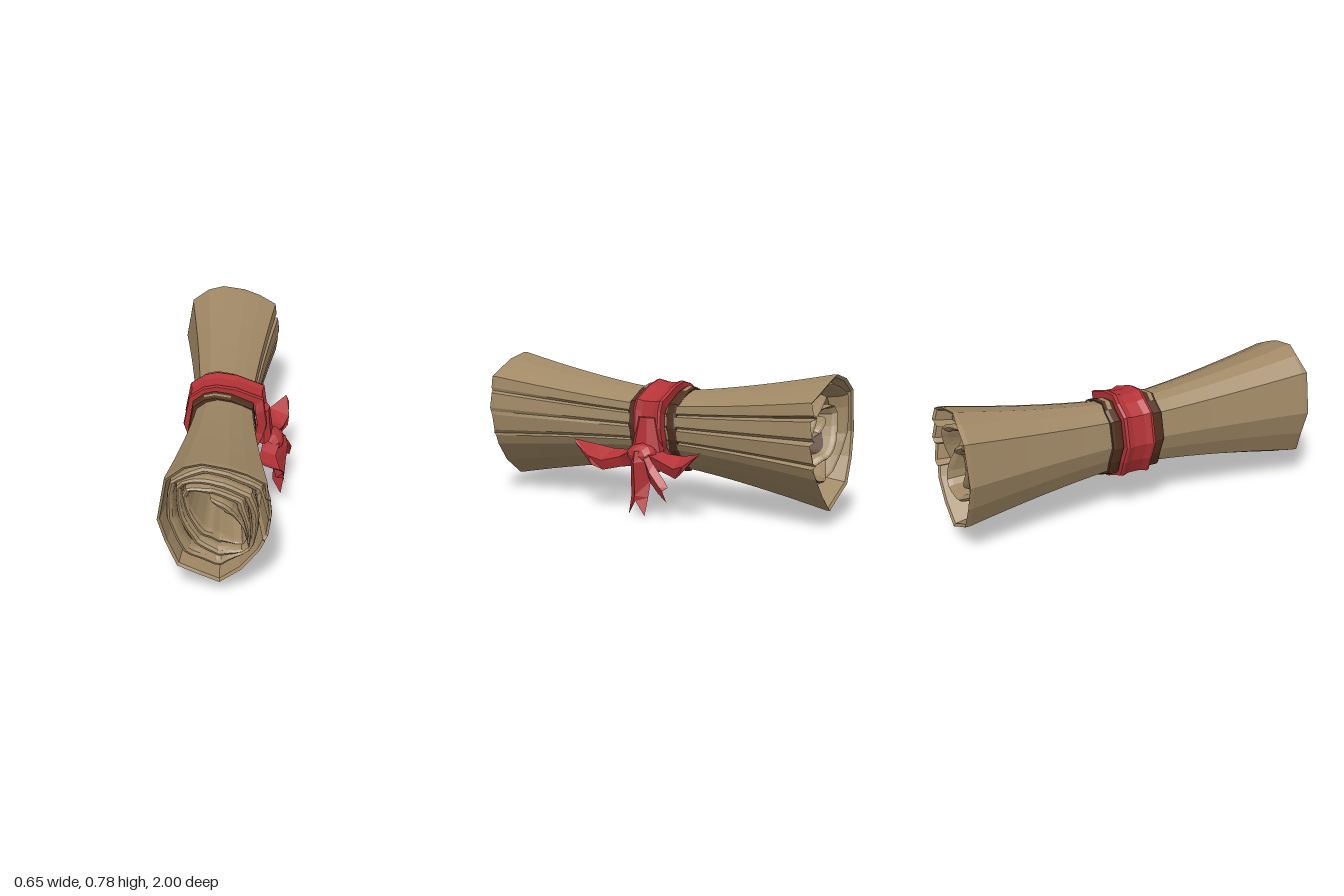
import * as THREE from 'three';

const CX = -0.04, CY = 0.43;

// flared end outline
const OUTLINE = [[0.24, 0.48], [0.225, 0.6], [0.215, 0.68], [0.03, 0.765], [-0.1, 0.79], [-0.19, 0.76], [-0.285, 0.69],
  [-0.325, 0.46], [-0.29, 0.32], [-0.23, 0.185], [-0.12, 0.13], [-0.02, 0.077], [0.09, 0.17], [0.18, 0.28], [0.225, 0.38]];
// the same outline with long folds on the +x side: [x, y, fold depth]
const CREASED = [[0.24, 0.5, 0], [0.232, 0.585, 0], [0.228, 0.597, 0.05], [0.222, 0.615, 0], [0.215, 0.68, 0],
  [0.12, 0.73, 0], [0.03, 0.765, 0], [-0.1, 0.79, 0], [-0.19, 0.76, 0], [-0.285, 0.69, 0], [-0.325, 0.46, 0],
  [-0.29, 0.32, 0], [-0.23, 0.185, 0], [-0.12, 0.13, 0], [-0.02, 0.077, 0], [0.09, 0.17, 0], [0.18, 0.28, 0],
  [0.207, 0.335, 0], [0.212, 0.35, 0.025], [0.222, 0.37, 0], [0.235, 0.46, 0], [0.238, 0.48, 0.025]];

const flare = (z) => 0.57 + 0.43 * Math.pow(Math.abs(z), 1.4);
const place = (p, s, z) => [CX + (p[0] - CX) * s, CY + (p[1] - CY) * s, z];

// surface through rows of points
function grid(rows, closed = false) {
  const n = rows[0].length, pos = rows.flat(2), index = [];
  for (let r = 0; r < rows.length - 1; r++) {
    for (let c = 0; c < (closed ? n : n - 1); c++) {
      const d = (c + 1) % n, a = r * n + c, b = r * n + d;
      index.push(a, b, a + n, b, b + n, a + n);
    }
  }
  const g = new THREE.BufferGeometry();
  g.setAttribute('position', new THREE.Float32BufferAttribute(pos, 3));
  g.setIndex(index);
  g.computeVertexNormals();
  return g;
}

// point on the outline at u turns
function outlineAt(u) {
  const n = OUTLINE.length, f = (u - Math.floor(u)) * n, i = Math.floor(f) % n, k = f - Math.floor(f);
  const a = OUTLINE[i], b = OUTLINE[(i + 1) % n];
  return [a[0] + (b[0] - a[0]) * k, a[1] + (b[1] - a[1]) * k];
}

// blend from the outline (k = 0) to the slanted hollow core (k = 1)
function rollPoint(u, k) {
  const p = outlineAt(u), ang = Math.atan2(p[1] - CY, p[0] - CX) + 0.82;
  const r = 0.19 * 0.06 / Math.hypot(0.06 * Math.cos(ang), 0.19 * Math.sin(ang));
  const q = [-0.025 + r * Math.cos(ang - 0.82), 0.435 + r * Math.sin(ang - 0.82)];
  return [p[0] + (q[0] - p[0]) * k, p[1] + (q[1] - p[1]) * k];
}

export function createModel() {
  const model = new THREE.Group();
  model.name = 'tiedScroll';
  const mat = (name, color) => {
    const m = new THREE.MeshStandardMaterial({ color, side: THREE.DoubleSide, flatShading: true });
    m.name = name;
    return m;
  };
  const paper = mat('parchment', 0xa08865);
  const dark = mat('darkBrown', 0x50301f);
  const red = mat('ribbonRed', 0xb43337);
  const add = (name, geo, material, parent = model) => {
    const m = new THREE.Mesh(geo, material);
    m.name = name;
    parent.add(m);
    return m;
  };

  // outer sheet with turned-in rims; folds deepen towards the back
  const edge = (i, side) => side * (1 - 0.008 * (1 + Math.sin(i * 2.3 + side)) * (i % 3 ? 1 : 0));
  const folded = ([x, y, depth], z) => [x - depth * (0.65 - 0.45 * z), y];
  const ring = (s, z) => CREASED.map((p) => place(folded(p, z), s * flare(z), z));
  const rim = (s, side, inset) => CREASED.map((p, i) => place(folded(p, side), s, edge(i, side) - side * inset));
  const rows = [ring(0.93, -0.75), rim(0.94, -1, 0.01), rim(0.985, -1, 0)];
  for (let i = -9; i <= 9; i++) rows.push(ring(1, i * 0.108));
  rows.push(rim(0.985, 1, 0), rim(0.94, 1, 0.01), ring(0.93, 0.75));
  add('outerSheet', grid(rows, true), paper);

  // rolled inner layers at both ends
  const TURNS = 3.2, STEPS = 130;
  for (const side of [1, -1]) {
    const front = side > 0;
    const roll = new THREE.Group();
    roll.name = front ? 'frontRoll' : 'backRoll';
    model.add(roll);
    const thick = front ? 0.21 : 0.15, ragged = front ? 0.01 : 0.045, backLip = front ? 0.25 : 0.04;
    const outer = [], inner = [];
    for (let i = 0; i <= STEPS; i++) {
      const t = i / STEPS, u = 0.1 + t * TURNS;
      const wave = 0.012 * Math.sin(u * 17) + 0.008 * Math.sin(u * 41);
      const k0 = 0.08 + t * 0.8 + wave, k1 = k0 + thick, km = (k0 + k1) / 2;
      const top = 0.98 - 0.03 * t - ragged * (1 + Math.sin(u * 9 + 1));
      // the shaded part reaches nearest the edge on the -x side, and stays deep in the front core
      const lip = front && t > 0.62 ? 0.28 : 0.03 + 0.12 * (1 - Math.cos(2 * Math.PI * (u - 0.55)));
      const at = (k, z) => place(rollPoint(u, k), flare(z), z * side);
      outer.push([at(k0, 0.45), at(k0, top - 0.02 - backLip), at(k0, top - 0.02), at(k0 + 0.04, top),
        at(km, top + 0.008), at(k1 - 0.04, top), at(k1, top - 0.02)]);
      inner.push([at(k1, top - 0.02), at(k1, top - 0.02 - lip), at(k1, 0.45)]);
    }
    add('rolledLayers', grid(outer.map((r) => r.slice(1))), paper, roll);
    add('rollLip', grid(inner.map((r) => r.slice(0, 2))), paper, roll);
    // shaded brown paper deeper in
    add('rollShadeOuter', grid(outer.map((r) => r.slice(0, 2))), dark, roll);
    add('rollShadeInner', grid(inner.map((r) => r.slice(1))), dark, roll);
    // floor closing the hollow
    const floor = OUTLINE.map((p) => place(p, 0.78 * flare(0.6), 0.6 * side));
    add('rollFloor', grid([floor, floor.map(() => [CX, CY, 0.56 * side])], true), dark, roll);
  }

  // bands around the waist: profile entries are [scale, z]
  const bandRows = (profile, dx, wide) => profile.map(([s, z]) =>
    OUTLINE.map((p, i) => {
      const q = place(p, s, z + 0.006 * Math.sin(i * 2.1));
      return [CX + (q[0] - CX) * wide + dx, q[1], q[2]];
    }));
  const band = (name, profile, material, dx, wide) => add(name, grid(bandRows(profile, dx, wide), true), material);
  band('frontCollar', [[0.55, 0.07], [0.64, 0.07], [0.65, 0.085], [0.65, 0.125], [0.63, 0.14], [0.55, 0.14]], dark, -0.01, 1);
  band('backCollar', [[0.55, -0.16], [0.63, -0.16], [0.65, -0.145], [0.65, -0.115], [0.63, -0.1], [0.55, -0.1]], dark, -0.01, 1);
  band('ribbonBand', [[0.56, -0.095], [0.715, -0.095], [0.73, -0.08], [0.695, -0.045], [0.695, 0.025],
    [0.73, 0.06], [0.715, 0.075], [0.56, 0.075]], red, 0.005, 1.1);
  // worn pale patches on top of the collars
  for (const [z0, z1] of [[0.105, 0.125], [-0.145, -0.122]]) {
    add('collarPatch', grid(bandRows([[0.655, z0], [0.655, z1]], -0.01, 1).map((r) => r.slice(3, 6))), paper);
  }

  // bow on the left side
  const bow = new THREE.Group();
  bow.name = 'bow';
  model.add(bow);
  const knot = add('knot', new THREE.IcosahedronGeometry(1, 1), red, bow);
  knot.scale.set(0.065, 0.06, 0.09);
  knot.position.set(0.22, 0.325, -0.005);
  const neck = add('knotNeck', new THREE.CylinderGeometry(0.055, 0.1, 0.18, 7), red, bow);
  neck.scale.x = 0.5;
  neck.position.set(0.175, 0.43, -0.01);

  // swept side wings, creased along the middle
  const wing = [
    [[0.18, 0.375, 0.02], [0.27, 0.35, 0.03], [0.23, 0.26, 0.02]],
    [[0.16, 0.33, 0.13], [0.24, 0.3, 0.13], [0.22, 0.245, 0.12]],
    [[0.15, 0.325, 0.22], [0.265, 0.275, 0.23], [0.245, 0.22, 0.23]],
    [[0.18, 0.345, 0.31], [0.29, 0.3, 0.3], [0.285, 0.25, 0.28]],
    [[0.265, 0.38, 0.4], [0.275, 0.365, 0.39], [0.285, 0.35, 0.37]]];
  add('frontWing', grid(wing), red, bow);
  add('backWing', grid(wing.map((r) => r.map(([x, y, z]) => [x + 0.06 * z, y, -z]))), red, bow);

  // hanging tails with notched ends
  add('centreTail', grid([
    [[0.22, 0.36, 0.06], [0.29, 0.35, 0], [0.23, 0.36, -0.07]],
    [[0.23, 0.3, 0.06], [0.305, 0.29, 0], [0.25, 0.3, -0.07]],
    [[0.225, 0.19, 0.065], [0.295, 0.19, 0], [0.24, 0.19, -0.07]],
    [[0.225, 0.1, 0.06], [0.29, 0.11, 0], [0.26, 0.1, -0.065]],
    [[0.27, 0.0, 0.05], [0.285, 0.08, 0], [0.29, 0.005, -0.06]]]), red, bow);
  add('backTail', grid([
    [[0.24, 0.36, -0.03], [0.27, 0.32, -0.04], [0.24, 0.25, -0.04]],
    [[0.28, 0.29, -0.11], [0.31, 0.25, -0.1], [0.28, 0.19, -0.09]],
    [[0.3, 0.21, -0.19], [0.325, 0.18, -0.17], [0.3, 0.14, -0.15]],
    [[0.31, 0.18, -0.215], [0.325, 0.16, -0.19], [0.315, 0.1, -0.21]]]), red, bow);
  return model;
}
